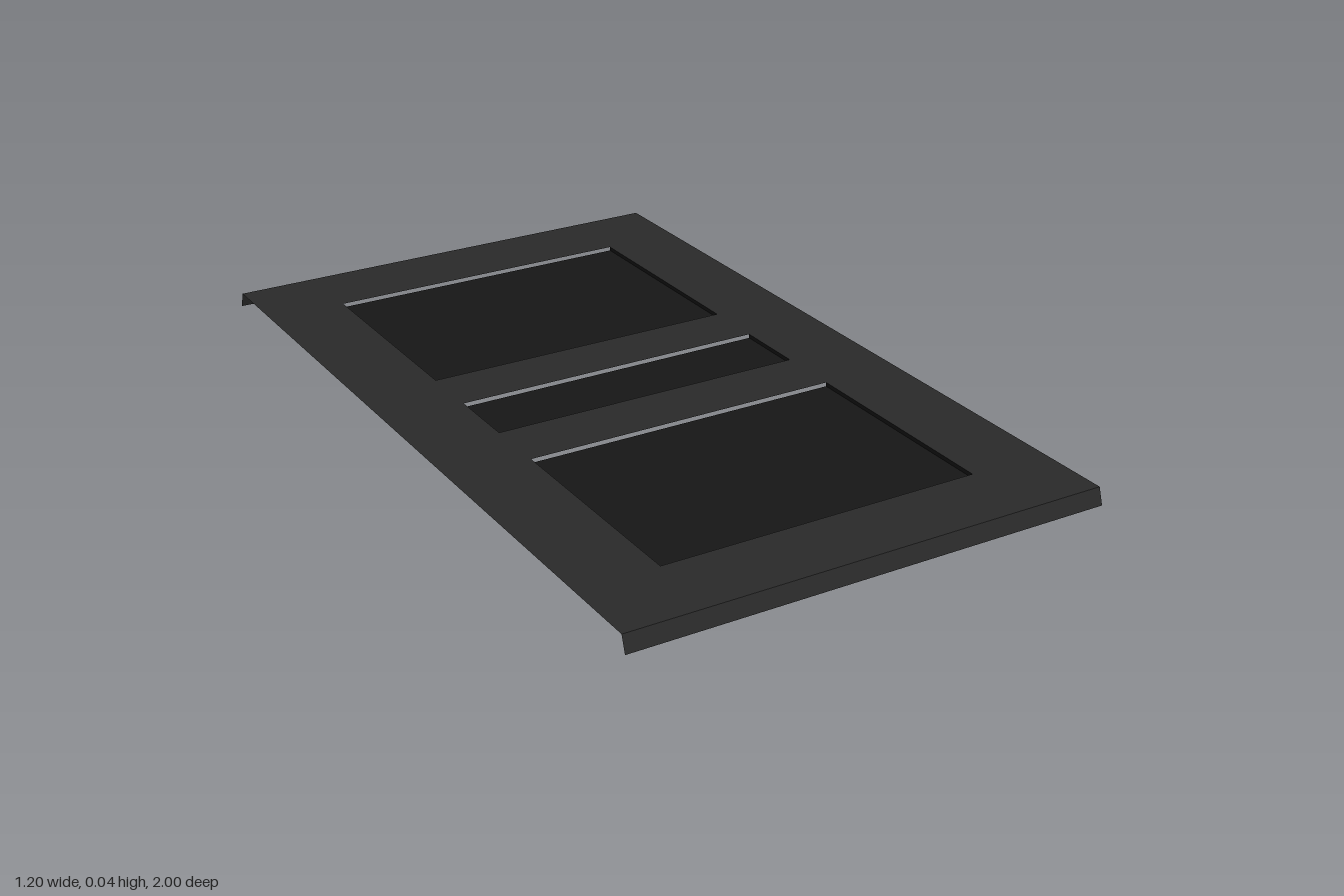
import * as THREE from 'three';

const TOP = 0.04, DEPTH = 0.01, HALF_W = 0.6, FOLD = 0.987;
const OPEN_W = 0.4;
// z ranges of the three recessed panels
const openings = [[-0.79, -0.24], [-0.09, 0.09], [0.245, 0.8]];

const frameMat = new THREE.MeshStandardMaterial({ color: 0x2a2a2a, side: THREE.DoubleSide });
const panelMat = new THREE.MeshStandardMaterial({ color: 0x171717, side: THREE.DoubleSide });

// Flat polygon from a fan of corners
function sheet(name, corners, material) {
  const geo = new THREE.BufferGeometry();
  geo.setAttribute('position', new THREE.Float32BufferAttribute(corners.flat(), 3));
  const index = [];
  for (let i = 1; i < corners.length - 1; i++) index.push(0, i, i + 1);
  geo.setIndex(index);
  geo.computeVertexNormals();
  const mesh = new THREE.Mesh(geo, material);
  mesh.name = name;
  return mesh;
}

// Rectangle outline in plan; shape y becomes -z after laying flat
function outline(PathType, w, z0, z1) {
  return new PathType([[-w, -z1], [w, -z1], [w, -z0], [-w, -z0]].map(p => new THREE.Vector2(...p)));
}

export function createModel() {
  const model = new THREE.Group();
  model.name = 'panelledSheet';

  // Top sheet with three rectangular openings
  const shape = outline(THREE.Shape, HALF_W, -FOLD, FOLD);
  for (const [z0, z1] of openings) shape.holes.push(outline(THREE.Path, OPEN_W, z0, z1));
  const top = new THREE.Mesh(new THREE.ShapeGeometry(shape).rotateX(-Math.PI / 2), frameMat);
  top.position.y = TOP;
  top.name = 'topSheet';
  model.add(top);

  // Sunken panels, open at their ends and closed along their sides
  const low = TOP - DEPTH;
  for (const [z0, z1] of openings) {
    const recess = new THREE.Group();
    recess.name = 'recess';
    recess.add(sheet('recessPanel',
      [[-OPEN_W, low, z1], [OPEN_W, low, z1], [OPEN_W, low, z0], [-OPEN_W, low, z0]], panelMat));
    for (const s of [1, -1]) {
      const x = s * OPEN_W;
      const corners = [[x, low, z0], [x, low, z1], [x, TOP, z1], [x, TOP, z0]];
      recess.add(sheet('recessSide', s > 0 ? corners.reverse() : corners, panelMat));
    }
    model.add(recess);
  }

  // Folded lips, splayed outwards at both ends
  for (const s of [1, -1]) {
    model.add(sheet(s > 0 ? 'frontLip' : 'backLip', [
      [-s * HALF_W, 0, s], [s * HALF_W, 0, s],
      [s * HALF_W, TOP, s * FOLD], [-s * HALF_W, TOP, s * FOLD],
    ], frameMat));
  }

  // Tapered strip along one long edge
  model.add(sheet('sideGusset',
    [[HALF_W, 0, 1], [HALF_W, TOP / 2, -FOLD], [HALF_W, TOP, FOLD]], frameMat));

  return model;
}
